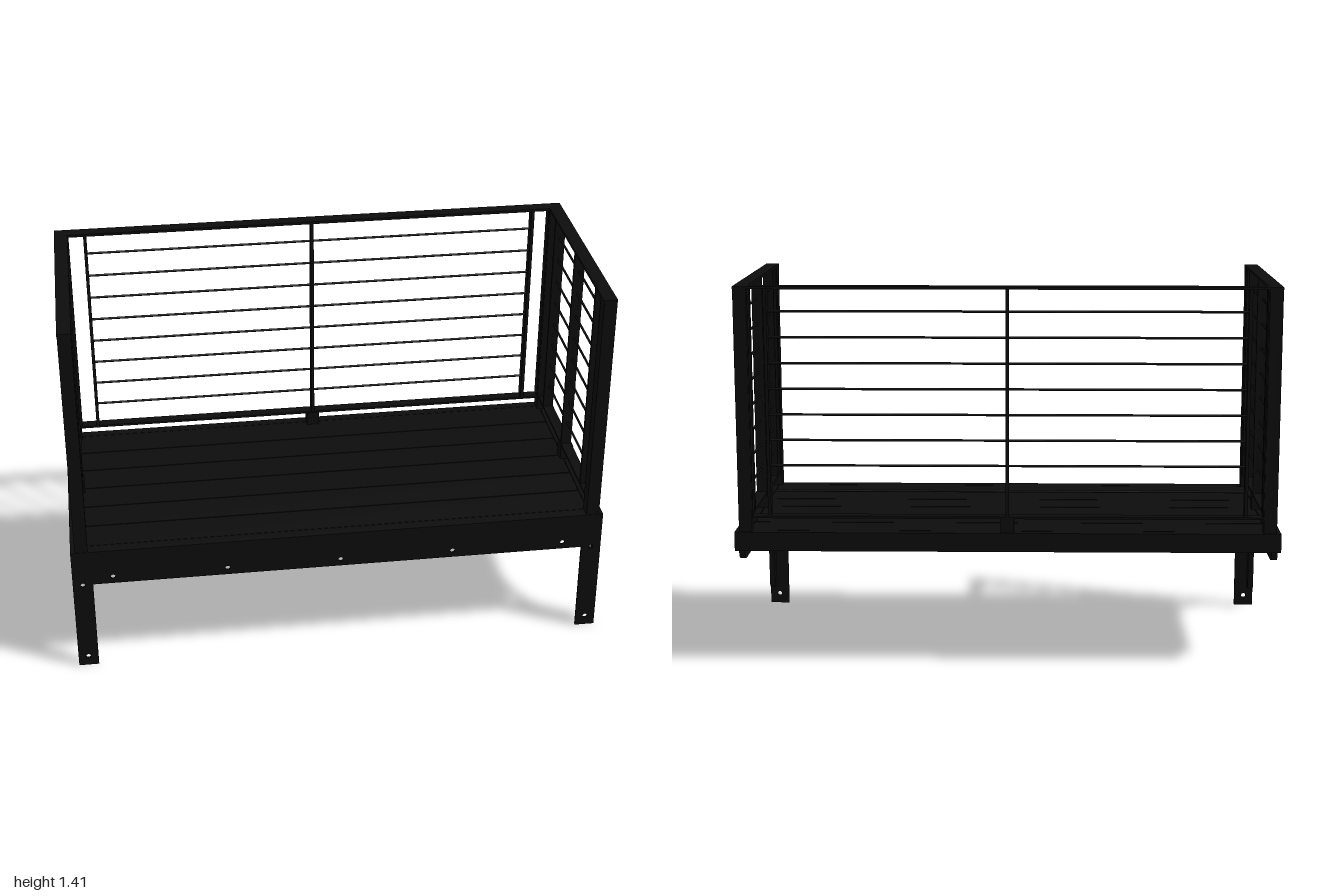
import * as THREE from 'three';

const mat = new THREE.MeshStandardMaterial({ color: 0x0d0d0d });

export function createModel() {
  const model = new THREE.Group();
  model.name = 'balcony';

  const add = (parent, name, geo) => {
    const m = new THREE.Mesh(geo, mat);
    m.name = name;
    parent.add(m);
    return m;
  };
  // box given by its min and max on each axis
  const box = (parent, name, x0, x1, y0, y1, z0, z1) => {
    const m = add(parent, name, new THREE.BoxGeometry(x1 - x0, y1 - y0, z1 - z0));
    m.position.set((x0 + x1) / 2, (y0 + y1) / 2, (z0 + z1) / 2);
    return m;
  };

  // Front mounting plate with two legs and bolt holes
  const plate = new THREE.Shape();
  [[-1, 0], [-0.925, 0], [-0.925, 0.367], [0.925, 0.367], [0.925, 0], [1, 0], [1, 0.51], [-1, 0.51]]
    .forEach(([x, y], i) => (i ? plate.lineTo(x, y) : plate.moveTo(x, y)));
  const bolts = [-0.85, -0.425, 0, 0.425, 0.85].map((x) => [x, 0.395]);
  for (const s of [-1, 1]) bolts.push([s * 0.963, 0.365], [s * 0.963, 0.04]);
  for (const [x, y] of bolts) plate.holes.push(new THREE.Path().absarc(x, y, 0.009, 0, Math.PI * 2, true));
  add(model, 'mountingPlate', new THREE.ExtrudeGeometry(plate, { depth: 0.008, bevelEnabled: false, curveSegments: 8 }))
    .position.z = 0.429;

  // Side brackets: profile drawn with u = -z, v = y
  const bracket = new THREE.Shape();
  bracket.moveTo(-0.43, 0.075);
  bracket.lineTo(-0.41, 0.075);
  bracket.quadraticCurveTo(-0.385, 0.075, -0.385, 0.105);
  bracket.lineTo(-0.385, 0.2);
  bracket.bezierCurveTo(-0.38, 0.31, -0.29, 0.385, -0.15, 0.385);
  bracket.lineTo(0.315, 0.385);
  bracket.quadraticCurveTo(0.36, 0.385, 0.36, 0.43);
  bracket.lineTo(0.36, 0.46);
  bracket.lineTo(-0.43, 0.46);
  const gap = new THREE.Path();
  gap.moveTo(-0.4, 0.394);
  gap.lineTo(-0.305, 0.394);
  gap.lineTo(-0.385, 0.31);
  gap.quadraticCurveTo(-0.398, 0.3, -0.4, 0.315);
  bracket.holes.push(gap);
  const bracketGeo = new THREE.ExtrudeGeometry(bracket, { depth: 0.022, bevelEnabled: false, curveSegments: 14 });
  bracketGeo.rotateY(Math.PI / 2);
  for (const s of [-1, 1]) add(model, 'sideBracket', bracketGeo).position.x = s * 0.986 - 0.011;

  // Deck: edge frame, joists, sheet and boards
  const deck = new THREE.Group();
  deck.name = 'deck';
  model.add(deck);
  box(deck, 'backBeam', -1, 1, 0.44, 0.51, -0.435, -0.4);
  box(deck, 'frontBeam', -1, 1, 0.44, 0.51, 0.395, 0.43);
  for (const s of [-1, 1]) box(deck, 'sideBeam', s * 0.975 - 0.025, s * 0.975 + 0.025, 0.44, 0.51, -0.4, 0.395);
  for (let i = -2; i <= 2; i++) box(deck, 'joist', i * 0.325 - 0.02, i * 0.325 + 0.02, 0.445, 0.485, -0.4, 0.395);
  box(deck, 'deckSheet', -0.95, 0.95, 0.483, 0.505, -0.4, 0.395);
  const boards = 6, pitch = 0.795 / boards;
  for (let i = 0; i < boards; i++) {
    const z = -0.4 + i * pitch;
    box(deck, 'deckBoard', -0.948, 0.948, 0.5, 0.51, z + 0.002, z + pitch - 0.002);
  }

  // Corner posts
  for (const s of [-1, 1]) {
    for (const z of [-0.4, 0.41]) {
      box(model, 'post', s * 0.96 - 0.024, s * 0.96 + 0.024, 0.505, 1.405, z - 0.025, z + 0.025);
    }
  }

  // A railing panel along local x, from a to b, with uprights at +-inner
  const railing = (name, a, b, inner) => {
    const g = new THREE.Group();
    g.name = name;
    model.add(g);
    const w = 0.02;
    box(g, 'topRail', a, b, 1.401, 1.411, -0.025, 0.025);
    box(g, 'bottomRail', a, b, 0.56, 0.569, -w, w);
    for (const x of [-inner, 0, inner]) box(g, 'upright', x - 0.006, x + 0.006, 0.565, 1.405, -w, w);
    box(g, 'foot', -0.025, 0.025, 0.505, 0.565, -0.025, 0.025);
    for (let i = 1; i <= 8; i++) {
      const rod = add(g, 'rod', new THREE.CylinderGeometry(0.0045, 0.0045, inner * 2, 8));
      rod.rotation.z = Math.PI / 2;
      rod.position.y = 0.566 + i * 0.0942;
    }
    return g;
  };
  const back = railing('backRailing', -0.985, 0.985, 0.87);
  back.position.z = -0.4;
  for (const s of [-1, 1]) {
    const side = railing('sideRailing', -0.435, 0.425, 0.3);
    side.rotation.y = Math.PI / 2; // local +x points to the back
    side.position.x = s * 0.96;
    box(side, 'frontEndBar', -0.385, -0.37, 0.565, 1.405, -0.02, 0.02);
    box(back, 'backEndBar', s * 0.935 - 0.003, s * 0.935 + 0.003, 0.565, 1.405, -0.02, 0.02);
  }
  return model;
}
